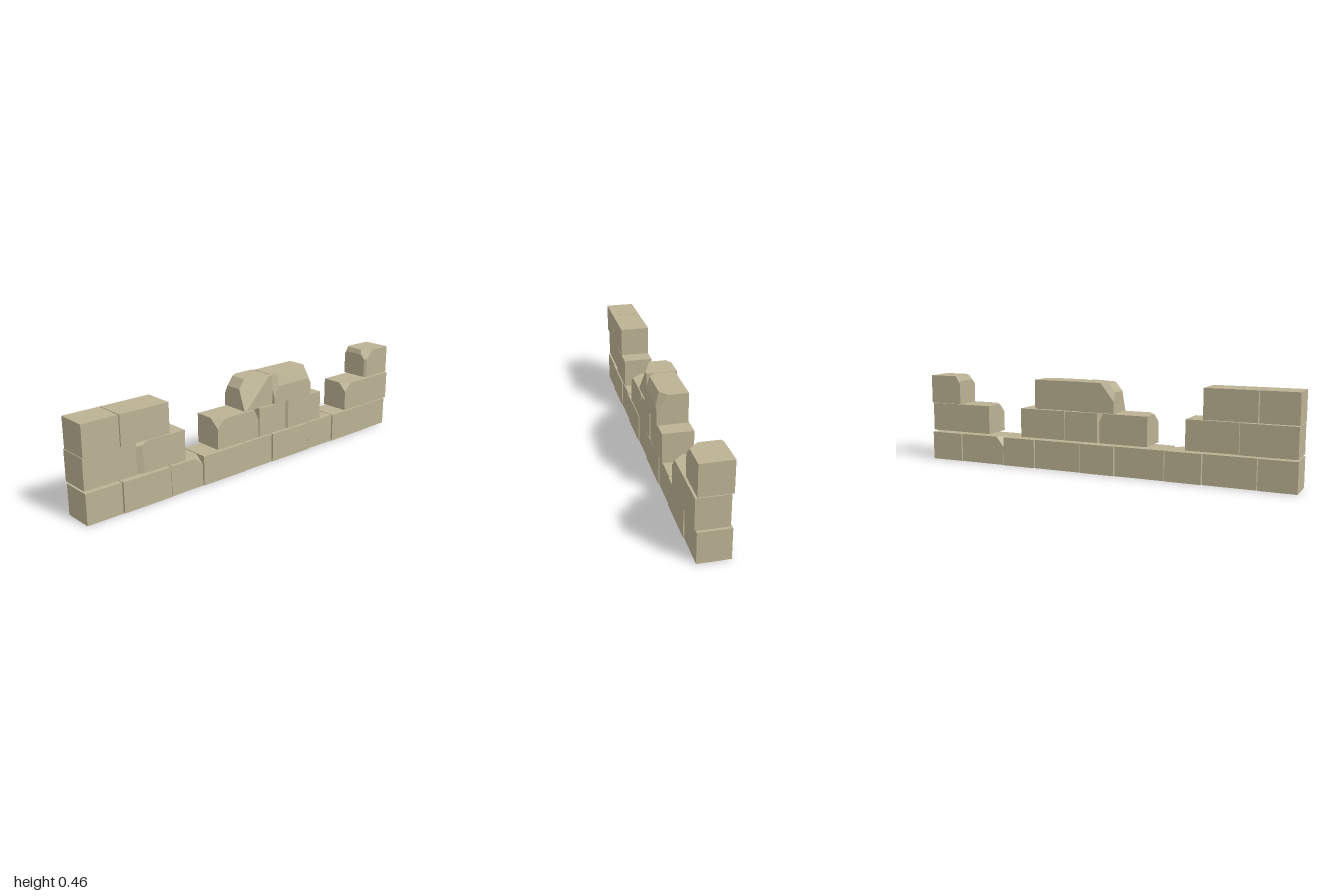
import * as THREE from 'three';
import { ConvexGeometry } from 'three/addons/geometries/ConvexGeometry.js';

const ALL = Infinity; // a cut that runs the full length of an axis
const JOINT = 0.005;
const WIDTH = 0.152;
const HEIGHT = 0.15;

// A chip takes off the corner named by its signs ('++-' is +x +y -z),
// reaching dx, dy, dz along the three edges.
const chip = (corner, dx, dy, dz) => ({ corner, reach: { x: dx, y: dy, z: dz } });

// Slice a convex point cloud with the plane of a chip
function slice(points, box, { corner, reach }) {
  const side = (p) => ['x', 'y', 'z'].reduce((sum, a, i) => {
    const away = corner[i] === '+' ? box.max[a] - p[a] : p[a] - box.min[a];
    return sum + (reach[a] === ALL ? 0 : away / reach[a]);
  }, -1);
  const kept = points.filter((p) => side(p) >= -1e-9);
  const gone = points.filter((p) => side(p) < -1e-9);
  const result = [...kept];
  for (const a of kept) {
    for (const b of gone) {
      const p = a.clone().lerp(b, side(a) / (side(a) - side(b)));
      if (!result.some((q) => q.distanceTo(p) < 1e-5)) result.push(p);
    }
  }
  return result;
}

// Stone block of standard width and height, centred, with its chips cut off
function stone(length, chips) {
  const block = new THREE.BoxGeometry(WIDTH, HEIGHT, length);
  if (!chips.length) return block;
  block.computeBoundingBox();
  const box = block.boundingBox;
  let points = [];
  for (const x of [box.min.x, box.max.x]) {
    for (const y of [box.min.y, box.max.y]) {
      for (const z of [box.min.z, box.max.z]) points.push(new THREE.Vector3(x, y, z));
    }
  }
  for (const c of chips) points = slice(points, box, c);
  return new ConvexGeometry(points);
}

// Lay blocks from front to back; fallen blocks leave a gap
function layCourse(name, bottom, lengths, fallen, shift, chips, material) {
  const course = new THREE.Group();
  course.name = name;
  let front = 1;
  lengths.forEach((length, i) => {
    if (!fallen.includes(i)) {
      const block = new THREE.Mesh(stone(length, chips[i] ?? []), material);
      block.name = `stoneBlock${i + 1}`;
      block.position.set(shift(i), bottom + HEIGHT / 2, front - length / 2);
      course.add(block);
    }
    front -= length + JOINT;
  });
  return course;
}

export function createModel() {
  const group = new THREE.Group();
  group.name = 'ruinedWall';
  const sandstone = new THREE.MeshStandardMaterial({ color: 0xbcb394 });
  sandstone.name = 'sandstone';

  // Short and long blocks alternate in the bottom and top courses
  const alternating = Array.from({ length: 9 }, (_, i) => (i % 2 ? 0.26 : 0.184));

  const bottomChips = {
    2: [chip('++-', 0.05, 0.04, 0.045)],
    7: [chip('-++', 0.04, 0.05, 0.04)],
  };
  group.add(layCourse('bottomCourse', 0, alternating, [],
    (i) => (i % 2 ? 0 : -0.004), bottomChips, sandstone));

  const middleLengths = [0.27, 0.26, 0.185, 0.265, 0.18, 0.255, 0.19, 0.36];
  const middleChips = {
    1: [chip('+++', 0.016, ALL, 0.026), chip('+++', 0.04, 0.035, 0.045)],
    3: [chip('+++', 0.055, 0.045, 0.045), chip('++-', ALL, 0.06, 0.028), chip('-+-', 0.02, ALL, 0.012)],
    5: [chip('+++', 0.02, ALL, 0.016)],
    7: [chip('+++', 0.045, 0.045, 0.045)],
  };
  group.add(layCourse('middleCourse', 0.16, middleLengths, [2, 6],
    (i) => (i ? -0.004 + 0.0015 * i : -0.011), middleChips, sandstone));

  // Worn blocks at the broken top of the wall
  const topChips = {
    4: [chip('+++', ALL, 0.045, 0.035), chip('+++', 0.06, 0.16, 0.16), chip('-++', 0.04, 0.09, 0.07)],
    5: [chip('+++', 0.02, 0.06, ALL), chip('++-', 0.055, 0.085, 0.07), chip('+++', 0.045, 0.12, 0.06)],
    8: [chip('+++', ALL, 0.025, 0.012), chip('+++', 0.06, 0.06, 0.055),
      chip('+++', 0.012, ALL, 0.012), chip('-++', 0.02, 0.04, 0.025)],
  };
  group.add(layCourse('topCourse', 0.313, alternating, [2, 3, 6, 7],
    (i) => (i === 5 ? 0.009 : -0.003), topChips, sandstone));

  return group;
}
